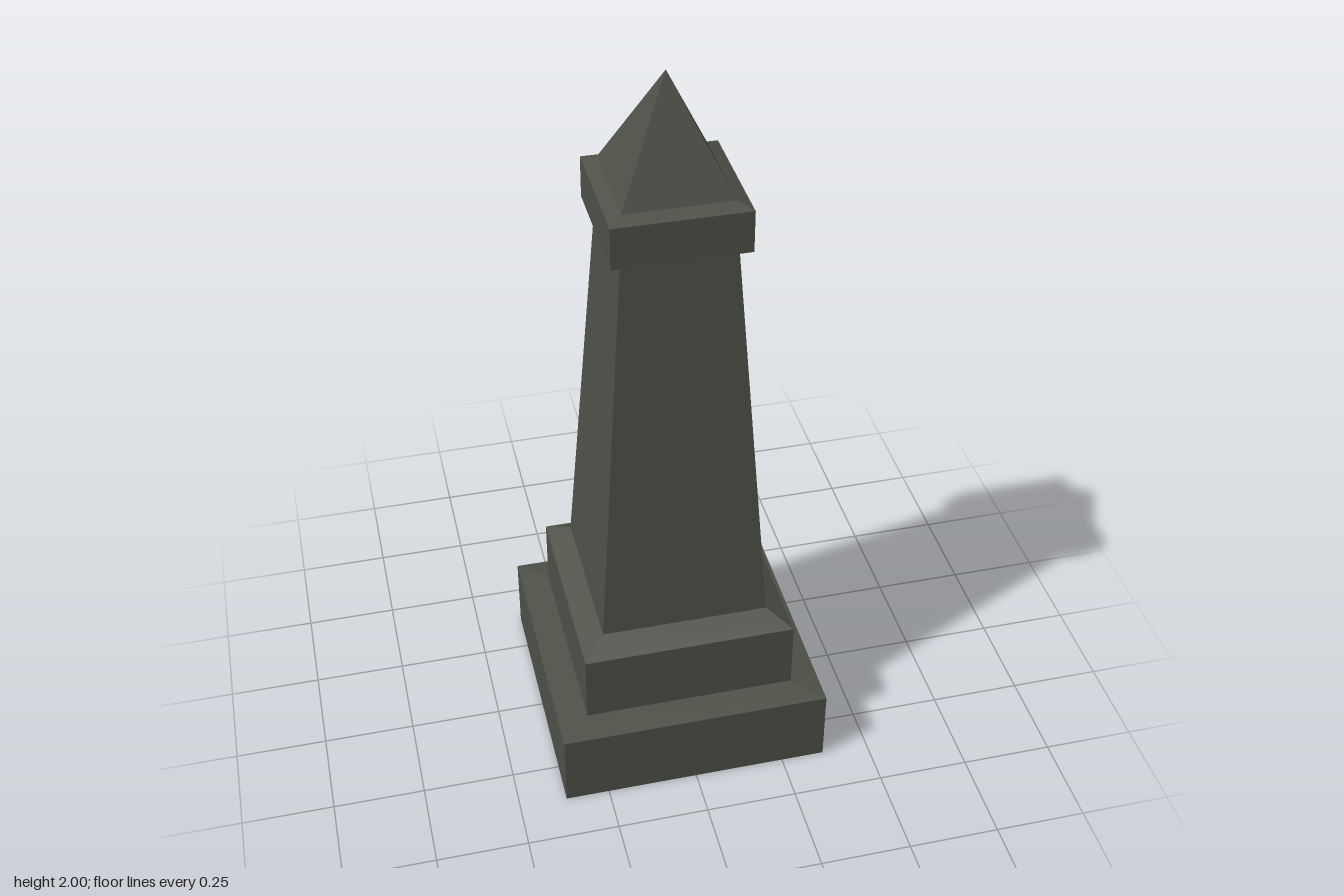
import * as THREE from 'three';

// Square solid of stacked sections: profile is [half width, height] from bottom to top
function squareTier(name, profile, material) {
  const points = profile.map(([half, y]) => new THREE.Vector2(half * Math.SQRT2, y));
  const geometry = new THREE.LatheGeometry(points, 4, Math.PI / 4).toNonIndexed();
  geometry.computeVertexNormals(); // crisp faces
  const mesh = new THREE.Mesh(geometry, material);
  mesh.name = name;
  return mesh;
}

export function createModel() {
  const group = new THREE.Group();
  group.name = 'obelisk';
  const stone = new THREE.MeshStandardMaterial({ color: 0x4c5046 });
  stone.name = 'dark stone';

  const tiers = {
    // wide foot with a gently sloped top
    plinth: [[0, 0], [0.37, 0], [0.37, 0.217], [0.29, 0.228]],
    // second step with a chamfer up to the shaft
    pedestal: [[0.29, 0.228], [0.29, 0.424], [0.228, 0.462]],
    taperedShaft: [[0.228, 0.462], [0.147, 1.585]],
    // overhanging collar, including its underside
    collar: [[0.147, 1.585], [0.176, 1.585], [0.176, 1.698], [0.141, 1.712]],
    pyramidTip: [[0.141, 1.712], [0, 2]],
  };
  for (const [name, profile] of Object.entries(tiers)) {
    group.add(squareTier(name, profile, stone));
  }
  return group;
}
